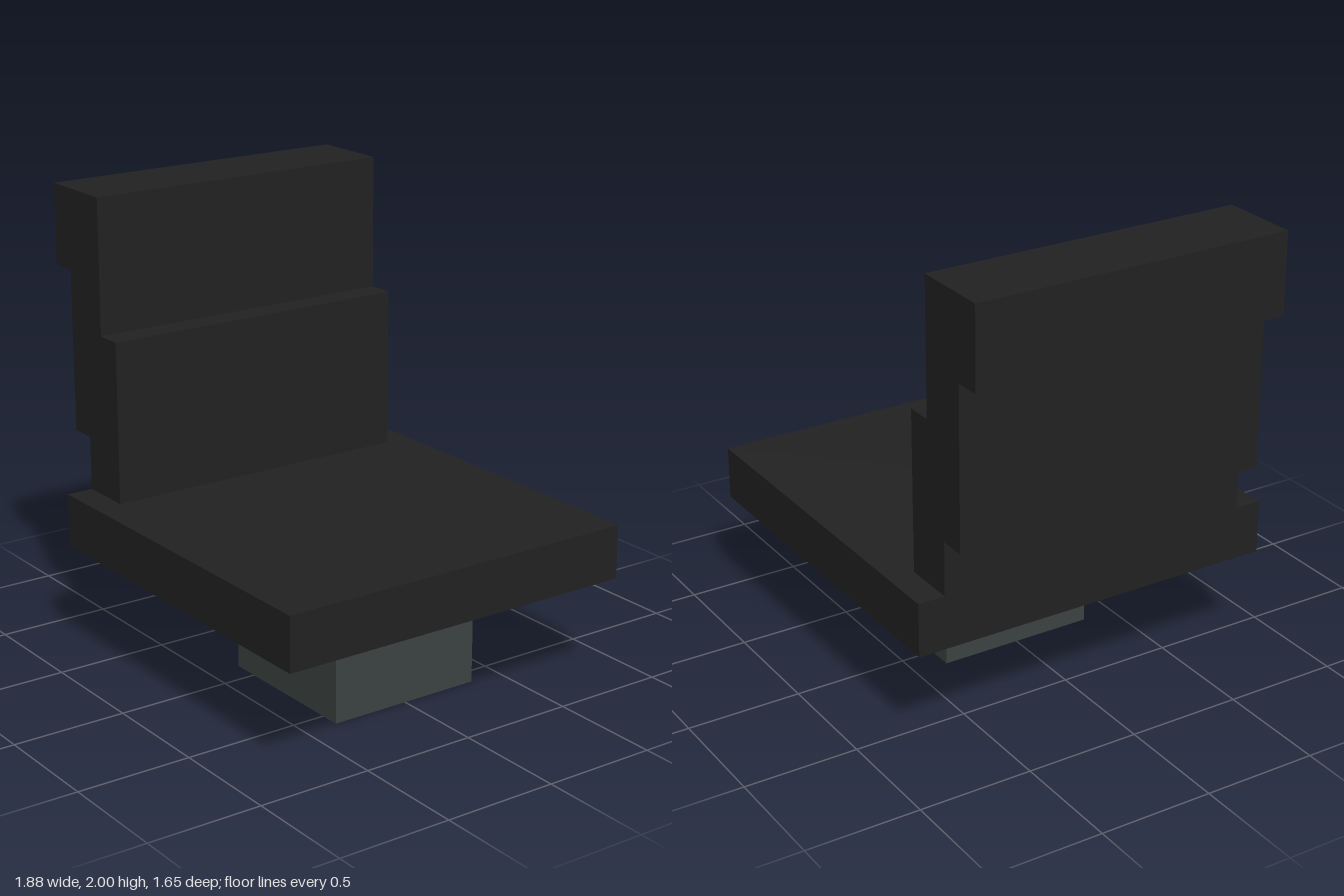
import * as THREE from 'three';

const U = 2 / 17; // block grid unit

export function createModel() {
  const model = new THREE.Group();
  model.name = 'chair';

  const black = new THREE.MeshStandardMaterial({ color: 0x222222 });
  black.name = 'black upholstery';
  const grey = new THREE.MeshStandardMaterial({ color: 0x3c4342 });
  grey.name = 'slate grey base';

  // Box from grid-unit size, resting on height y
  function block(name, material, [w, h, d], [x, y, z]) {
    const mesh = new THREE.Mesh(new THREE.BoxGeometry(w * U, h * U, d * U), material);
    mesh.position.set(x * U, (y + h / 2) * U, z * U);
    mesh.name = name;
    model.add(mesh);
  }

  block('pedestal', grey, [6, 4, 6], [2, 0, 0]);
  block('seat', black, [14, 2, 14], [1, 4, 0]);

  // Stepped backrest: side profile leaning back, extruded across its width
  const profile = [
    [-4, 6], [-4, 12], [-5, 12], [-5, 17], [-8, 17],
    [-8, 14], [-7, 14], [-7, 8], [-6, 8], [-6, 6],
  ].map(([x, y]) => new THREE.Vector2(x * U, y * U));
  const backGeometry = new THREE.ExtrudeGeometry(new THREE.Shape(profile), {
    depth: 12 * U,
    bevelEnabled: false,
  });
  backGeometry.translate(0, 0, -6 * U);
  const backrest = new THREE.Mesh(backGeometry, black);
  backrest.name = 'backrest';
  model.add(backrest);

  return model;
}
